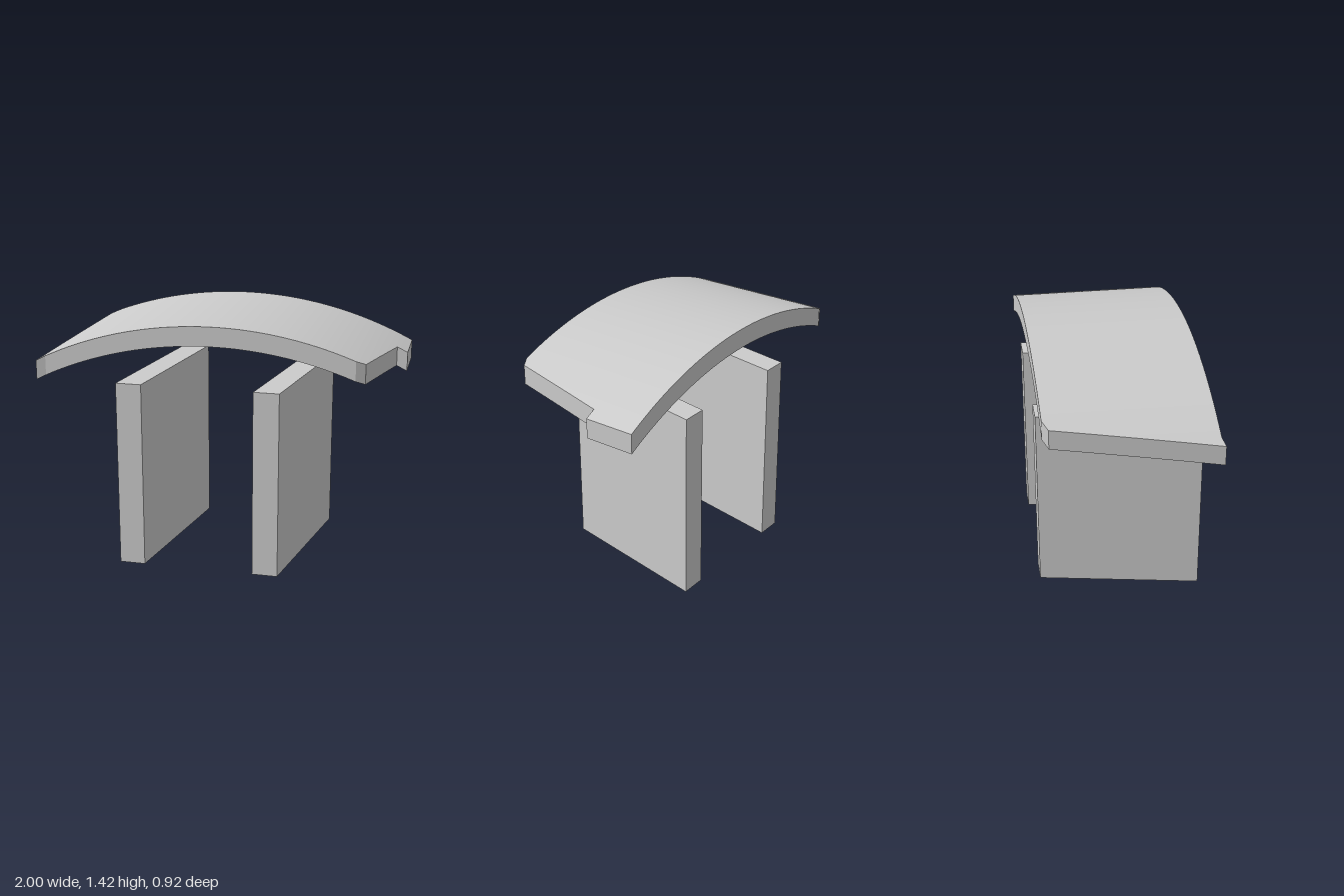
import * as THREE from 'three';
import { toCreasedNormals } from 'three/addons/utils/BufferGeometryUtils.js';

const material = new THREE.MeshStandardMaterial({ color: 0xcccccc });

// Plan outline of the top as front and back edges, [x, z] from left to right
const FRONT = [[-1, 0.455], [-0.95, 0.44], [0.78, 0.435], [0.83, 0.41], [0.94, -0.17], [1, -0.17]];
const BACK = [[-1, 0.455], [-0.84, -0.425], [-0.78, -0.455], [1, -0.46]];

function edgeZ(edge, x) {
  let i = 1;
  while (i < edge.length - 1 && x > edge[i][0]) i++;
  const [x0, z0] = edge[i - 1], [x1, z1] = edge[i];
  return THREE.MathUtils.mapLinear(x, x0, x1, z0, z1);
}

// Height of the arched upper surface (circular arc)
const R = 2.2;
const archY = (x) => 1.423 - R + Math.sqrt(R * R - x * x);

// Arched slab lofted from rectangular sections along x
function archedTop(thickness) {
  const stations = new Set([...FRONT, ...BACK].map((p) => p[0]));
  for (let i = 0; i <= 50; i++) stations.add(-1 + i / 25);
  const xs = [...stations].sort((a, b) => a - b);
  const positions = [], index = [];
  xs.forEach((x, i) => {
    const top = archY(x), bottom = top - thickness;
    const front = edgeZ(FRONT, x), back = edgeZ(BACK, x);
    positions.push(x, bottom, front, x, top, front, x, top, back, x, bottom, back);
    if (i === 0) return;
    for (let j = 0; j < 4; j++) {
      const k = (j + 1) % 4;
      const a = (i - 1) * 4 + j, b = (i - 1) * 4 + k, c = i * 4 + k, d = i * 4 + j;
      index.push(a, d, c, a, c, b);
    }
  });
  // Square end at +x; the other end tapers to a point
  const e = (xs.length - 1) * 4;
  index.push(e, e + 3, e + 2, e, e + 2, e + 1);
  const geometry = new THREE.BufferGeometry();
  geometry.setAttribute('position', new THREE.Float32BufferAttribute(positions, 3));
  geometry.setIndex(index);
  return toCreasedNormals(geometry, 0.25);
}

// Upright slab with a skewed, parallelogram footprint
function supportSlab(xFront) {
  const width = 0.145, skew = 0.165, height = 1.077, zFront = 0.443, zBack = -0.455;
  const shape = new THREE.Shape([
    new THREE.Vector2(xFront, -zFront),
    new THREE.Vector2(xFront + width, -zFront),
    new THREE.Vector2(xFront + width + skew, -zBack),
    new THREE.Vector2(xFront + skew, -zBack),
  ]);
  const geometry = new THREE.ExtrudeGeometry(shape, { depth: height, bevelEnabled: false });
  return geometry.rotateX(-Math.PI / 2);
}

export function createModel() {
  const model = new THREE.Group();
  model.name = 'archedTable';
  const add = (name, geometry) => {
    const mesh = new THREE.Mesh(geometry, material);
    mesh.name = name;
    model.add(mesh);
  };
  add('archedTop', archedTop(0.11));
  add('rightSupport', supportSlab(-0.545));
  add('leftSupport', supportSlab(0.23));
  return model;
}
